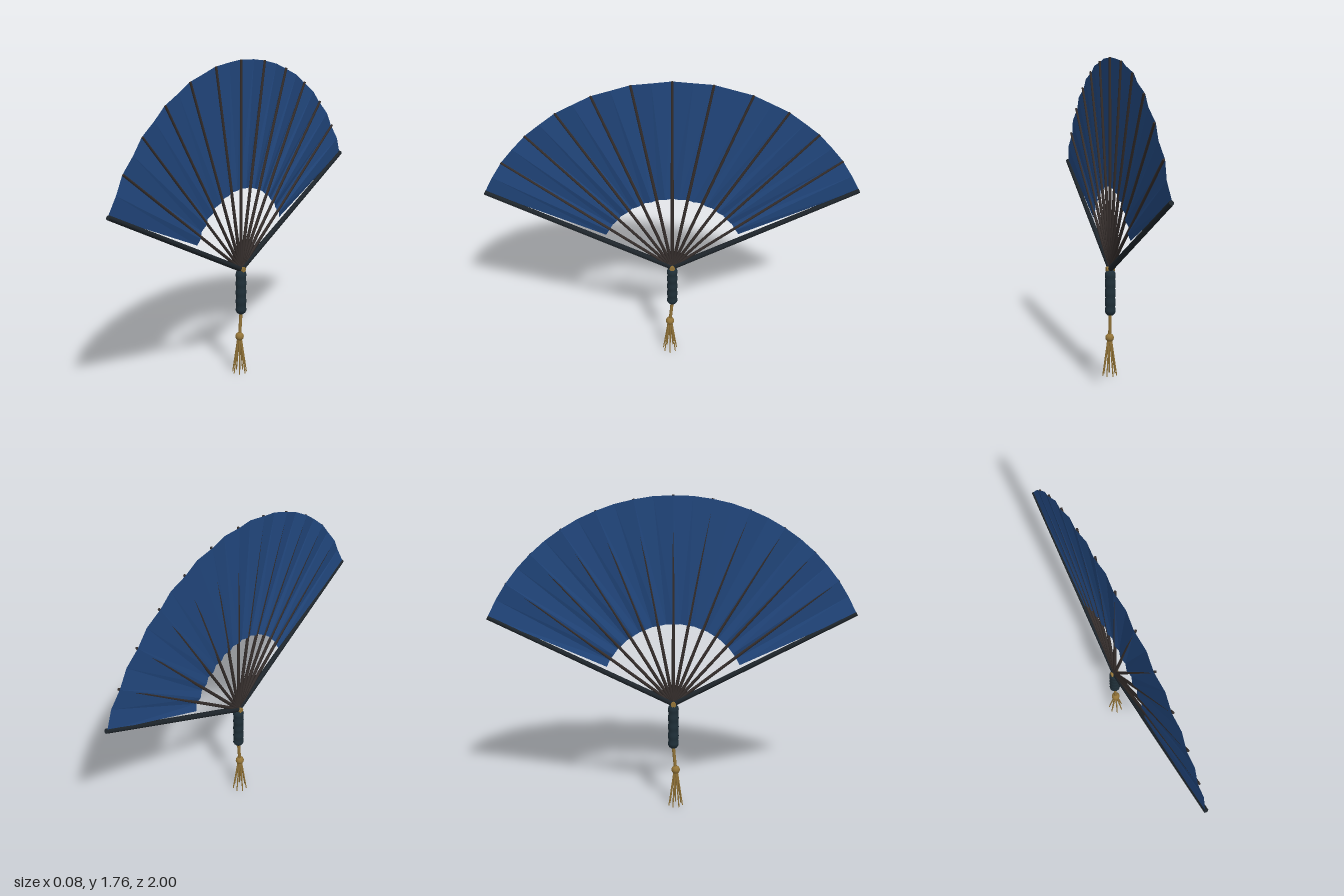
import * as THREE from 'three';

const mat = (name, color, extra = {}) => {
  const m = new THREE.MeshStandardMaterial({ color, ...extra });
  m.name = name;
  return m;
};

export function createModel() {
  const fan = new THREE.Group();
  fan.name = 'foldingFan';
  const blue = mat('blue cloth', 0x21467c, { side: THREE.DoubleSide, flatShading: true });
  const brown = mat('dark brown wood', 0x352e2c);
  const black = mat('black lacquer', 0x1e252b);
  const slate = mat('dark slate wrap', 0x1f2f38);
  const gold = mat('old gold', 0x937438);

  const V = (x, y, z) => new THREE.Vector3(x, y, z);
  const add = (name, geometry, material, parent = fan) => {
    const mesh = new THREE.Mesh(geometry, material);
    mesh.name = name;
    parent.add(mesh);
    return mesh;
  };
  // Tapered rod from a to b
  const rod = (name, a, b, ra, rb, sides, material, parent) => {
    const mesh = add(name, new THREE.CylinderGeometry(rb, ra, a.distanceTo(b), sides), material, parent);
    mesh.position.copy(a).add(b).multiplyScalar(0.5);
    mesh.quaternion.setFromUnitVectors(V(0, 1, 0), b.clone().sub(a).normalize());
    return mesh;
  };

  const pivot = V(0, 0.61, 0);
  const arcY = 0.666, inner = 0.398, outer = 1.09;
  const spread = THREE.MathUtils.degToRad(65.7);
  const arcPoint = (t, r, x) => V(x, arcY + r * Math.cos(t * spread), r * Math.sin(t * spread));

  // Pleated cloth: zigzag strip around the arc, valleys at the ribs
  const folds = 24, pos = [], index = [];
  for (let i = 0; i <= folds; i++) {
    const t = (i / folds) * 2 - 1;
    const x = i % 2 ? 0.006 : -0.005;
    pos.push(...arcPoint(t, inner, x).toArray(), ...arcPoint(t, outer, x).toArray());
    if (i < folds) {
      const a = i * 2;
      index.push(a, a + 2, a + 1, a + 1, a + 2, a + 3);
    }
  }
  const cloth = new THREE.BufferGeometry();
  cloth.setAttribute('position', new THREE.Float32BufferAttribute(pos, 3));
  cloth.setIndex(index);
  cloth.computeVertexNormals();
  add('cloth', cloth, blue);

  // Ribs fanning out from the pivot
  const ribs = new THREE.Group();
  ribs.name = 'ribs';
  fan.add(ribs);
  for (let i = -5; i <= 5; i++) {
    rod('rib', pivot, arcPoint(i / 6, outer + 0.002, 0.002), 0.0095, 0.0065, 6, brown, ribs);
  }

  // Heavier guards at both ends
  for (const s of [-1, 1]) {
    const a = THREE.MathUtils.degToRad(63.2);
    const tip = V(0, pivot.y + 1.115 * Math.cos(a), s * 1.115 * Math.sin(a));
    rod('guard', pivot, tip, 0.016, 0.0125, 8, black);
  }

  // Pivot pin
  const pin = add('pivotPin', new THREE.CylinderGeometry(0.015, 0.015, 0.046, 12), gold);
  pin.rotation.z = Math.PI / 2;
  pin.position.copy(pivot);

  // Wrapped grip with soft ripples and rounded ends
  const profile = [new THREE.Vector2(0, 0.347), new THREE.Vector2(0.015, 0.349), new THREE.Vector2(0.024, 0.357)];
  for (let i = 0; i <= 24; i++) {
    profile.push(new THREE.Vector2(0.029 + 0.0015 * Math.cos((i / 24) * Math.PI * 8), 0.37 + (i / 24) * 0.21));
  }
  profile.push(new THREE.Vector2(0.027, 0.593), new THREE.Vector2(0.02, 0.603), new THREE.Vector2(0, 0.606));
  add('handle', new THREE.LatheGeometry(profile, 16), slate);

  // Tassel: cord, knot and seven strands
  const tassel = new THREE.Group();
  tassel.name = 'tassel';
  fan.add(tassel);
  const knotAt = V(0, 0.217, 0.013);
  const cord = new THREE.CatmullRomCurve3([V(0, 0.36, 0), V(0, 0.29, 0.006), knotAt]);
  add('cord', new THREE.TubeGeometry(cord, 8, 0.009, 8), gold, tassel);
  add('knot', new THREE.SphereGeometry(0.024, 16, 12), gold, tassel).position.copy(knotAt);
  for (let i = 0; i < 7; i++) {
    const a = (i / 7) * Math.PI * 2;
    const c = Math.cos(a), s = Math.sin(a);
    rod('strand', V(c * 0.008, 0.205, 0.013 + s * 0.008), V(c * 0.04, 0.001, 0.013 + s * 0.04),
      0.006, 0.003, 6, gold, tassel);
  }
  return fan;
}
